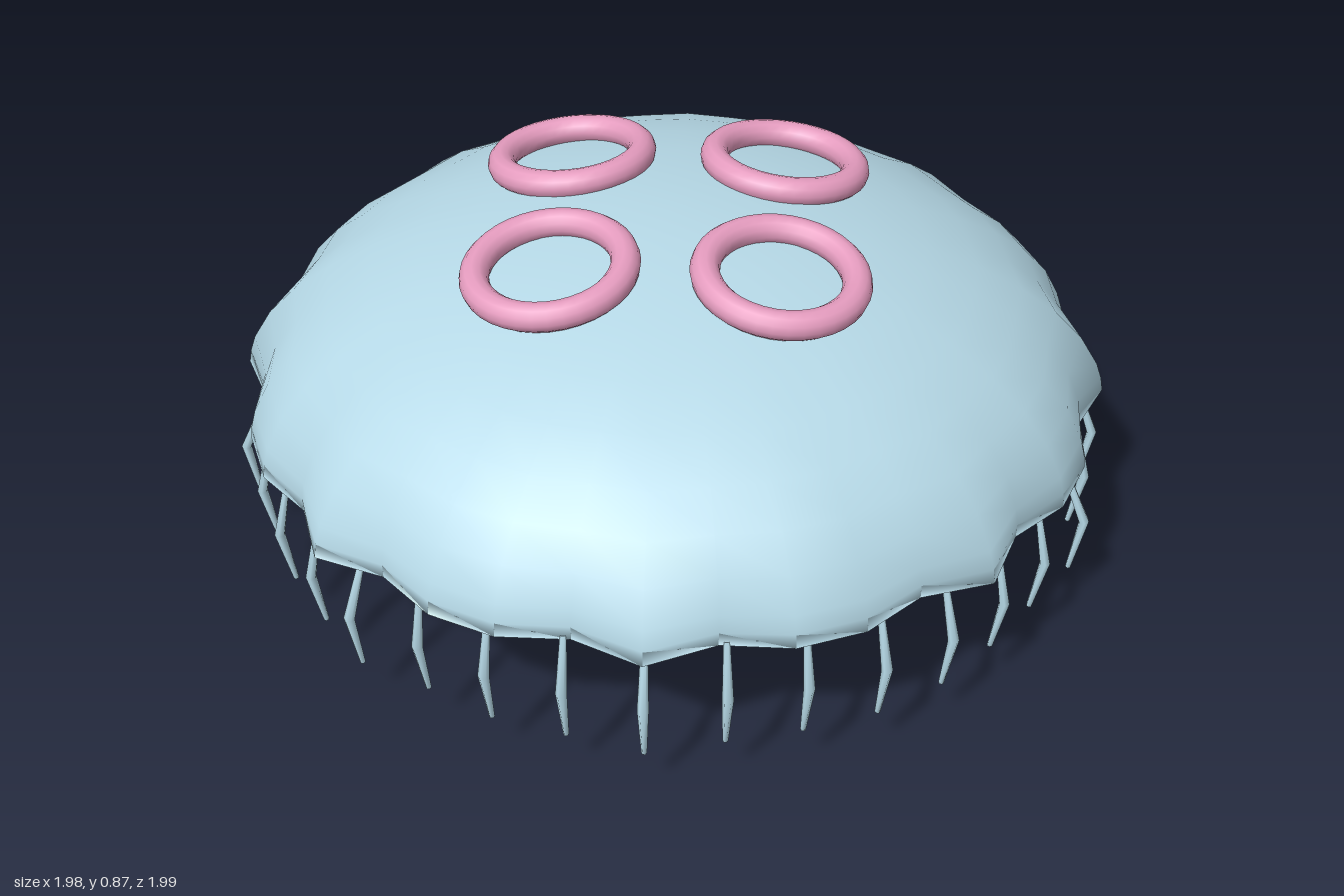
import * as THREE from 'three';
import { mergeVertices } from 'three/addons/utils/BufferGeometryUtils.js';

const RIM_Y = 0.38, RIM_R = 0.957, HEIGHT = 0.455, INNER_HEIGHT = 0.27;

// Join seams and give smooth normals
function smooth(geo) {
  geo.deleteAttribute('uv');
  geo.deleteAttribute('normal');
  const merged = mergeVertices(geo);
  merged.computeVertexNormals();
  return merged;
}

// Tube with one radius per cross-section
function taperedTube(points, radii, sides) {
  const curve = new THREE.CatmullRomCurve3(points);
  const segments = radii.length - 1;
  const geo = new THREE.TubeGeometry(curve, segments, 1, sides);
  const pos = geo.attributes.position, v = new THREE.Vector3();
  radii.forEach((r, i) => {
    const c = curve.getPointAt(i / segments);
    for (let j = 0; j <= sides; j++) {
      const n = i * (sides + 1) + j;
      v.fromBufferAttribute(pos, n).sub(c).multiplyScalar(r).add(c);
      pos.setXYZ(n, v.x, v.y, v.z);
    }
  });
  return smooth(geo);
}

// Dome with a scalloped rim and a shallower hollow underneath
function bellGeometry() {
  const profile = [];
  const ring = (a, h) => profile.push(new THREE.Vector2(Math.sin(a) * RIM_R, RIM_Y + Math.cos(a) * h));
  const steps = 10, quarter = Math.PI / 2;
  for (let i = 0; i < steps; i++) ring((i / steps) * quarter, INNER_HEIGHT);
  ring(quarter, HEIGHT);
  ring(quarter * 0.955, HEIGHT);
  for (let i = steps - 1; i >= 0; i--) ring((i / steps) * quarter, HEIGHT);

  const geo = new THREE.LatheGeometry(profile, 40);
  const pos = geo.attributes.position;
  for (let i = 0; i < pos.count; i++) {
    const x = pos.getX(i), z = pos.getZ(i);
    const t = Math.asin(Math.min(1, Math.hypot(x, z) / RIM_R)) / quarter;
    const s = 1 + 0.034 * t ** 2.5 * Math.cos(16 * Math.atan2(x, z));
    pos.setXYZ(i, x * s, pos.getY(i), z * s);
  }
  return smooth(geo);
}

export function createModel() {
  const model = new THREE.Group();
  model.name = 'jellyfish';
  const blue = new THREE.MeshStandardMaterial({ color: 0xb6d9e7 });
  blue.name = 'pale blue';
  const pink = new THREE.MeshStandardMaterial({ color: 0xe59cbf });
  pink.name = 'pink';

  const body = new THREE.Group();
  body.name = 'body';
  body.position.z = -0.012;
  model.add(body);
  const add = (name, geo, mat) => {
    const mesh = new THREE.Mesh(geo, mat);
    mesh.name = name;
    body.add(mesh);
    return mesh;
  };

  add('bell', bellGeometry(), blue);

  // Four rings resting on the dome, each tilted outward
  const axis = new THREE.Vector3(0, 0, 1);
  for (const sx of [-1, 1]) for (const sz of [-1, 1]) {
    const ring = add('ring', new THREE.TorusGeometry(0.1625, 0.0325, 12, 36), pink);
    ring.position.set(sx * 0.245, 0.817, sz * 0.245);
    ring.quaternion.setFromUnitVectors(axis, new THREE.Vector3(sx * 0.105, 1, sz * 0.105).normalize());
  }

  // Thin bent tentacles around the rim, clockwise from the back
  const bulge = [
    0.97, 1.0, 0.96, 0.95, 0.985, 0.98, 0.96, 0.96, 1.0, 0.98, 0.96, 0.99,
    0.96, 0.96, 0.97, 0.97, 0.96, 0.96, 0.99, 0.96, 0.96, 0.95, 0.98, 0.96,
    0.96, 0.96, 0.99, 0.97, 0.95, 0.99, 0.97, 0.96, 0.95, 1.0, 0.96, 0.95];
  bulge.forEach((b, k) => {
    const a = k * Math.PI / 18;
    const at = (r, y) => new THREE.Vector3(Math.sin(a) * r, y, -Math.cos(a) * r);
    const points = [at(0.93, 0.39), at(b, 0.245), at(b - 0.025, 0.125)];
    add('tentacle', taperedTube(points, [0.007, 0.012, 0.006], 6), blue);
  });

  // Four thick arms twisting round each other under the bell
  const path = [[0.03, 0.48], [0.058, 0.37], [0.035, 0.25], [0.052, 0.17], [0.054, 0.09], [0.072, 0.006]];
  const radii = [0, 0.03, 0.037, 0.041, 0.041, 0.038, 0.034, 0.032, 0.033, 0.034, 0.032, 0.028, 0.023, 0.017, 0];
  for (let k = 0; k < 4; k++) {
    const points = path.map(([r, y], i) => {
      const a = k * Math.PI / 2 + Math.PI / 4 - (i / 5) * Math.PI * 1.25;
      return new THREE.Vector3(Math.cos(a) * r, y, Math.sin(a) * r);
    });
    add('oralArm', taperedTube(points, radii, 10), blue);
  }
  return model;
}
